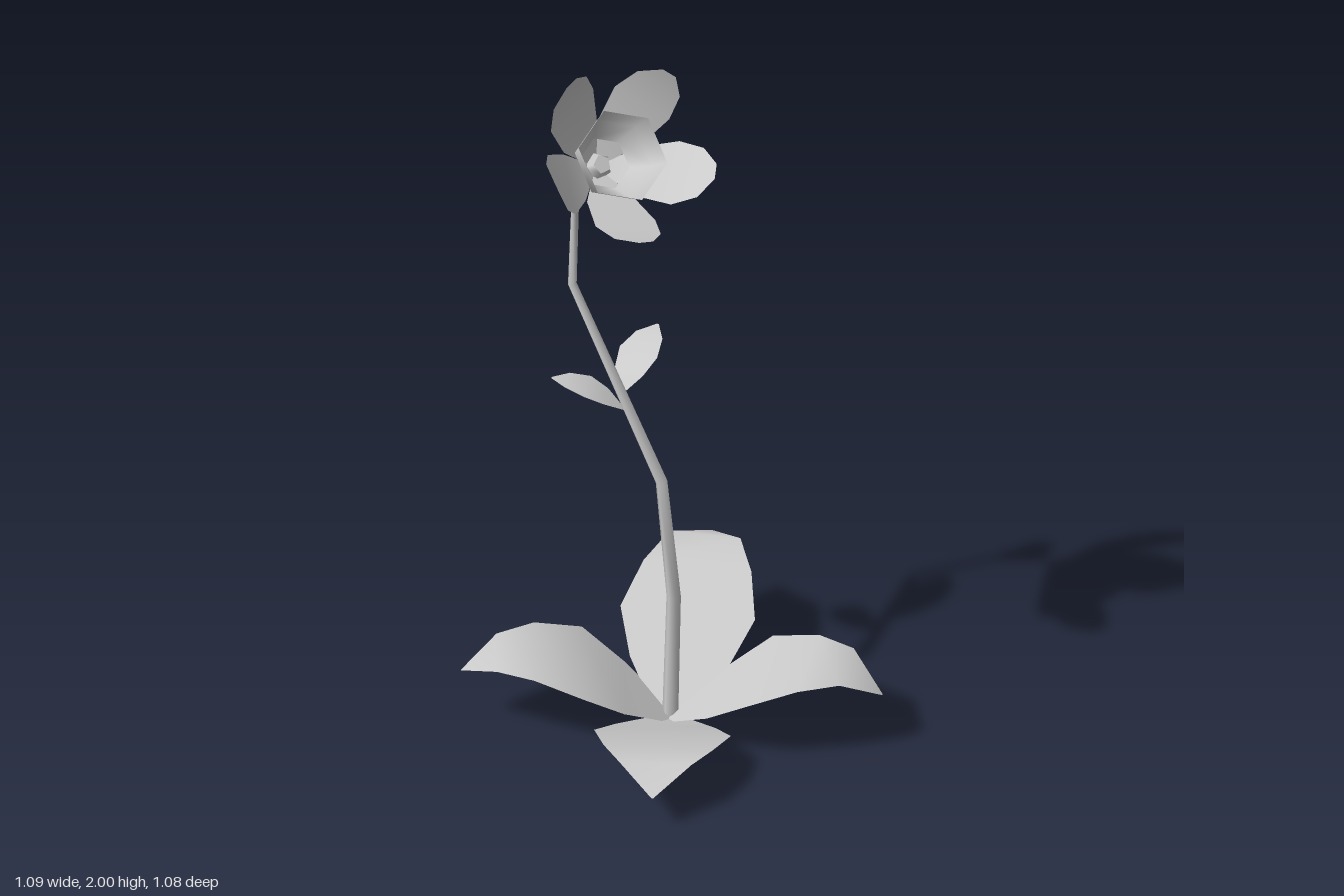
import * as THREE from 'three';

const V = (x, y, z) => new THREE.Vector3(x, y, z);
const UP = V(0, 1, 0);
const material = new THREE.MeshStandardMaterial({ color: 0xcccccc, side: THREE.DoubleSide });

function gridGeometry(rows) {
  const position = rows.flat().flatMap(p => p.toArray());
  const n = rows[0].length, index = [];
  for (let i = 0; i < rows.length - 1; i++) {
    for (let j = 0; j < n - 1; j++) {
      const a = i * n + j, b = a + n;
      index.push(a, a + 1, b, a + 1, b + 1, b);
    }
  }
  const g = new THREE.BufferGeometry();
  g.setAttribute('position', new THREE.Float32BufferAttribute(position, 3));
  g.setIndex(index);
  g.computeVertexNormals();
  return g;
}

function part(name, geometry) {
  const mesh = new THREE.Mesh(geometry, material);
  mesh.name = name;
  return mesh;
}

// Thin blade: flat across, bent along its spine
function blade(name, spine, side, halfWidths) {
  return part(name, gridGeometry(spine.map((p, i) => [
    p.clone().addScaledVector(side, halfWidths[i]),
    p.clone().addScaledVector(side, -halfWidths[i]),
  ])));
}

// Tapered stem with straight sections between bends
function stem(points, radii, sides = 6) {
  const rows = points.map((p, i) => {
    const before = points[Math.max(i - 1, 0)], after = points[Math.min(i + 1, points.length - 1)];
    const q = new THREE.Quaternion().setFromUnitVectors(UP, after.clone().sub(before).normalize());
    return Array.from({ length: sides + 1 }, (_, j) => {
      const a = -j / sides * Math.PI * 2;
      return V(Math.cos(a), 0, Math.sin(a)).multiplyScalar(radii[i]).applyQuaternion(q).add(p);
    });
  });
  return part('stem', gridGeometry(rows));
}

// Large leaf at the foot, reaching out along dx, dz
function basalLeaf(dx, dz, heights) {
  const along = [-0.05, 0.22, 0.42, 0.65, 0.83, 1];
  const spine = along.map((t, i) => V(-0.02 + dx * t, heights[i], 0.01 + dz * t));
  const side = V(dx, 0, dz).normalize().cross(UP);
  return blade('basalLeaf', spine, side, [0.02, 0.13, 0.177, 0.142, 0.093, 0.002]);
}

// Small leaf on the stem, arched a little between base and tip
function stemLeaf(base, tip, halfWidth) {
  const along = [0, 0.25, 0.5, 0.78, 1];
  const arch = base.distanceTo(tip) * 0.1;
  const spine = along.map(t => base.clone().lerp(tip, t).addScaledVector(UP, arch * Math.sin(Math.PI * t)));
  const side = tip.clone().sub(base).cross(UP).normalize();
  return blade('stemLeaf', spine, side, [0.1, 0.75, 1, 0.7, 0.05].map(w => w * halfWidth));
}

// Blossom built around +y, then tilted by its frame
function blossom(origin, axis, firstPetal) {
  const group = new THREE.Group();
  group.name = 'blossom';
  const y = axis.clone().normalize();
  const x = firstPetal.clone().addScaledVector(y, -firstPetal.dot(y)).normalize();
  group.setRotationFromMatrix(new THREE.Matrix4().makeBasis(x, y, x.clone().cross(y)));
  group.position.copy(origin);

  // Outer petals
  const spine = [[0.025, 0], [0.095, 0.04], [0.17, 0.11], [0.215, 0.172], [0.238, 0.218]].map(([r, h]) => V(r, h, 0));
  for (let i = 0; i < 5; i++) {
    const petal = blade('petal', spine, V(0, 0, -1), [0.02, 0.066, 0.085, 0.066, 0.02]);
    petal.rotation.y = -i * Math.PI * 2 / 5;
    group.add(petal);
  }

  // Six-sided open cup
  const cup = part('cup', new THREE.LatheGeometry(
    [[0.07, 0.04], [0.11, 0.1], [0.125, 0.16]].map(p => new THREE.Vector2(...p)), 6));
  cup.rotation.y = 0.17;
  group.add(cup);

  // Five-sided heart where petals and stem meet
  const heart = part('heart', new THREE.CylinderGeometry(0.025, 0.04, 0.03, 5));
  heart.position.y = 0.01;
  group.add(heart);
  return group;
}

export function createModel() {
  const model = new THREE.Group();
  model.name = 'flower';

  model.add(stem(
    [V(-0.02, 0.015, 0.005), V(-0.01, 0.38, 0.01), V(-0.04, 0.73, 0.02), V(-0.295, 1.24, -0.08),
      V(-0.28, 1.52, -0.045), V(-0.237, 1.65, 0.01), V(-0.2, 1.69, 0.05)],
    [0.021, 0.019, 0.016, 0.012, 0.01, 0.009, 0.008]));

  model.add(
    basalLeaf(0.56, 0, [0, 0.1, 0.178, 0.218, 0.22, 0.147]),
    basalLeaf(0, -0.55, [0, 0.105, 0.185, 0.25, 0.285, 0.24]),
    basalLeaf(-0.527, 0.11, [0, 0.1, 0.175, 0.21, 0.207, 0.155]),
    basalLeaf(0.06, 0.525, [0, 0.055, 0.1, 0.132, 0.142, 0.092]));

  model.add(
    stemLeaf(V(-0.145, 0.92, -0.01), V(-0.335, 0.995, -0.005), 0.052),
    stemLeaf(V(-0.16, 0.955, -0.02), V(-0.095, 1.065, -0.205), 0.056),
    stemLeaf(V(-0.255, 1.6, -0.01), V(-0.345, 1.64, 0), 0.022),
    stemLeaf(V(-0.27, 1.55, -0.035), V(-0.19, 1.61, -0.085), 0.036));

  model.add(blossom(V(-0.2, 1.69, 0.05), V(0.52, 0.62, 0.58), V(-0.153, 0.175, -0.02)));
  return model;
}
